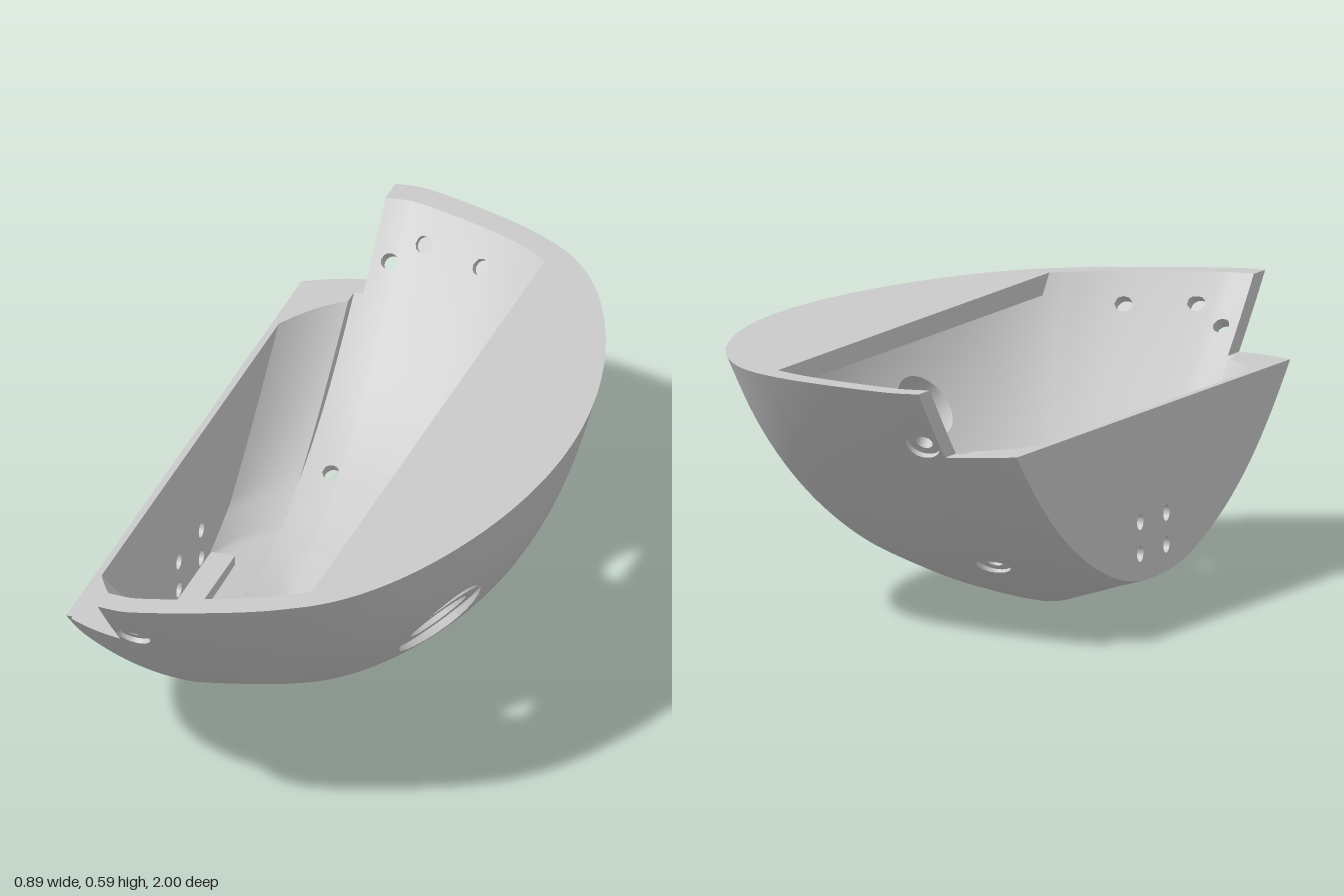
import * as THREE from 'three';

const X0 = -0.24, TOP = 0.59, LEDGE = 0.43, BACK = -0.445, STEP = -0.30, RIB = -0.32, LIP = 0.12;

// Hull contours: height, half length in z, reach to the front (+x), reach to the back (-x)
const rows = [
  [0, 0, 0, 0], [0.012, 0.13, 0.065, 0.048], [0.043, 0.25, 0.17, 0.15], [0.058, 0.30, 0.215, 0.205],
  [0.11, 0.42, 0.343, 0.29], [0.155, 0.51, 0.428, 0.34], [0.226, 0.62, 0.510, 0.41],
  [0.316, 0.73, 0.580, 0.48], [0.435, 0.855, 0.639, 0.54], [0.59, 1.0, 0.683, 0.60],
];

// Smooth interpolation of the contour table, eased by the square root of height
function outer(y) {
  const s = Math.sqrt(THREE.MathUtils.clamp(y, 0, TOP)), S = (i) => Math.sqrt(rows[i][0]);
  let i = 0;
  while (i < rows.length - 2 && s > S(i + 1)) i++;
  const h = S(i + 1) - S(i), t = (s - S(i)) / h;
  const slope = (j, k) => {
    const p = Math.max(0, j - 1), q = Math.min(rows.length - 1, j + 1);
    return (rows[q][k] - rows[p][k]) / (S(q) - S(p));
  };
  const v = [1, 2, 3].map((k) => Math.max(1e-4,
    (1 + 2 * t) * (1 - t) ** 2 * rows[i][k] + t * (1 - t) ** 2 * h * slope(i, k) +
    t * t * (3 - 2 * t) * rows[i + 1][k] + t * t * (t - 1) * h * slope(i + 1, k)));
  return { z: v[0], a: v[1], b: v[2] };
}

// Cavity contours, and the narrower cavity behind the rib
function inner(y) {
  const d = outer(y - 0.035);
  return { z: d.z * 0.965, a: Math.max(1e-3, d.a - Math.min(0.045, d.a * 0.2)), b: Math.max(1e-3, d.b - 0.01) };
}
function rear(y) {
  const k = [[0.06, 0.08], [0.09, 0.2], [0.15, 0.24], [0.43, 0.30]];
  let i = 0;
  while (i < 2 && y > k[i + 1][0]) i++;
  const t = (y - k[i][0]) / (k[i + 1][0] - k[i][0]);
  const b = k[i][1] + t * (k[i + 1][1] - k[i][1]);
  return { z: outer(y).z * lerp(0.82, 0.9, y / LEDGE), a: b, b };
}

// Contours are ellipses, slightly flattened at the flanks and fuller at the shoulders
const lerp = THREE.MathUtils.lerp;
const bulge = (t) => (t > 0 ? 1 - (t < 0.5 ? 0.022 : 0.035) * Math.sin(2 * Math.PI * t) : 1);
const limit = (d, clip) => Math.acos(THREE.MathUtils.clamp((clip - X0) / d.b, -1, 1));
const onContour = (d, th) => {
  const t = Math.cos(th);
  return [X0 + t * (t > 0 ? d.a : d.b), d.z * Math.sin(th) * bulge(t)];
};
const zAt = (d, x) => {
  const t = (x - X0) / (x > X0 ? d.a : d.b);
  return d.z * Math.sqrt(Math.max(0, 1 - t * t)) * bulge(t);
};

// Slides a point along an axis until it lies on a contour surface
function project(p, n, dims) {
  let lo = -0.15, hi = 0.15;
  const q = new THREE.Vector3();
  for (let i = 0; i < 26; i++) {
    const m = (lo + hi) / 2;
    q.copy(p).addScaledVector(n, m);
    if (q.y > 0 && Math.abs(q.z) < zAt(dims(q.y), q.x)) lo = m; else hi = m;
  }
  return q;
}

// Grid surface with round openings: inside points move to the edge of the opening
function sheet(fn, nu, nv, holes = [], dims = null) {
  const pos = [], idx = [], cut = [];
  for (let j = 0; j <= nv; j++) for (let i = 0; i <= nu; i++) {
    let p = new THREE.Vector3(...fn(i / nu, j / nv)), inside = false;
    for (const h of holes) {
      const r = p.clone().sub(h.c), along = r.dot(h.n);
      r.addScaledVector(h.n, -along);
      if (Math.abs(along) < 0.12 && r.length() < h.r) {
        p = project(h.c.clone().addScaledVector(r.normalize(), h.r), h.n, dims);
        inside = true;
      }
    }
    pos.push(p.x, p.y, p.z);
    cut.push(inside);
  }
  const tri = (a, b, c) => { if (!(cut[a] && cut[b] && cut[c])) idx.push(a, b, c); };
  for (let j = 0; j < nv; j++) for (let i = 0; i < nu; i++) {
    const a = j * (nu + 1) + i, c = a + nu + 1;
    tri(a, c, a + 1);
    tri(a + 1, c, c + 1);
  }
  const g = new THREE.BufferGeometry();
  g.setAttribute('position', new THREE.Float32BufferAttribute(pos, 3));
  g.setIndex(idx);
  g.computeVertexNormals();
  return g;
}

// Curved wall between two heights, open behind the clip plane
const shell = (dims, y0, y1, clip, nu, nv, holes) => sheet((u, v) => {
  const y = lerp(y0, y1, v ** 1.5), d = dims(y);
  const [x, z] = onContour(d, (2 * u - 1) * limit(d, clip));
  return [x, y, z];
}, nu, nv, holes, dims);

export function createModel() {
  const model = new THREE.Group();
  const gray = new THREE.MeshStandardMaterial({ color: 0xcacaca, side: THREE.DoubleSide });
  gray.name = 'plain gray';
  const add = (name, geo) => {
    const m = new THREE.Mesh(geo, gray);
    m.name = name;
    model.add(m);
    return m;
  };

  // Bores: counterbored through holes and blind holes in the cavity wall
  const outerHoles = [], innerHoles = [];
  const loop = (c, n, r, t) => {
    const e = new THREE.Vector3(1, 0, 0).cross(n).normalize(), f = n.clone().cross(e);
    return c.clone().addScaledVector(e, r * Math.cos(t)).addScaledVector(f, r * Math.sin(t));
  };
  const tube = (name, from, to) => add(name, sheet((u, v) =>
    from(u * Math.PI * 2).lerp(to(u * Math.PI * 2), v).toArray(), 40, 1));
  const face = (name, geo, c, n) => {
    const m = add(name, geo);
    m.position.copy(c);
    m.quaternion.setFromUnitVectors(new THREE.Vector3(0, 0, 1), n);
  };
  const through = (p, n, r, R, depth) => {
    const c = project(p, n, outer), floor = c.clone().addScaledVector(n, -depth);
    outerHoles.push({ c, n, r: R });
    innerHoles.push({ c, n, r });
    tube('counterboreWall', (t) => project(loop(c, n, R, t), n, outer), (t) => loop(floor, n, R, t));
    face('counterboreSeat', new THREE.RingGeometry(r, R, 40), floor, n);
    tube('boreWall', (t) => loop(floor, n, r, t), (t) => project(loop(c, n, r, t), n, inner));
  };
  const blind = (p, n, r) => {
    const c = project(p, n, inner), end = c.clone().addScaledVector(n, 0.025);
    innerHoles.push({ c, n, r });
    tube('blindHoleWall', (t) => project(loop(c, n, r, t), n, inner), (t) => loop(end, n, r, t));
    face('blindHoleEnd', new THREE.CircleGeometry(r, 24), end, n);
  };
  const V = (x, y, z) => new THREE.Vector3(x, y, z);
  for (const s of [1, -1]) {
    through(V(0.265, 0.318, 0.345 * s), V(0.71, -0.66, 0.25 * s).normalize(), 0.075, 0.112, 0.014);
    through(V(-0.26, 0.45, 0.88 * s), V(0, -0.66, 0.75 * s).normalize(), 0.019, 0.038, 0.014);
    through(V(-0.26, 0.125, 0.475 * s), V(0, -0.83, 0.56 * s).normalize(), 0.019, 0.038, 0.014);
    blind(V(-0.19, 0.525, 0.87 * s), V(0, -0.6, 0.8 * s), 0.02);
    blind(V(-0.04, 0.52, 0.82 * s), V(0.1, -0.6, 0.79 * s).normalize(), 0.02);
  }

  // Outer hull and cavity in bands, split where the clip planes begin
  add('hullBottom', shell(outer, 0, 0.058, BACK, 120, 24, outerHoles));
  add('hullLower', shell(outer, 0.058, LEDGE, BACK, 220, 64, outerHoles));
  add('hullUpper', shell(outer, LEDGE, TOP, STEP, 220, 24, outerHoles));
  add('cavityFloor', shell(inner, 0.035, 0.0585, RIB, 120, 16, innerHoles));
  add('cavityLower', shell(inner, 0.0585, LEDGE, RIB, 220, 64, innerHoles));
  add('cavityUpper', shell(inner, LEDGE, TOP, STEP, 220, 24, innerHoles));

  for (const s of [1, -1]) {
    // Thicker rear cavity wall, the rib step, the ledges and the stepped end faces
    add('rearCavity', sheet((u, v) => {
      const y = lerp(0.0601, LEDGE, v ** 1.5), d = rear(y);
      const [x, z] = onContour(d, lerp(limit(d, RIB), limit(d, -0.43), u));
      return [x, y, z * s];
    }, 16, 40));
    add('ribStep', sheet((u, v) => {
      const y = lerp(0.0601, LEDGE, v ** 1.5);
      return [RIB, y, s * lerp(zAt(rear(y), RIB), zAt(inner(y), RIB), u)];
    }, 1, 40));
    add('ledge', sheet((u, v) => {
      const x = lerp(-0.43, RIB, u);
      return [x, LEDGE, s * lerp(zAt(rear(LEDGE), x), zAt(outer(LEDGE), x), v)];
    }, 16, 1));
    add('ledgeEnd', sheet((u, v) => {
      const x = lerp(RIB, STEP, u);
      return [x, LEDGE, s * lerp(zAt(inner(LEDGE), x), zAt(outer(LEDGE), x), v)];
    }, 2, 1));
    add('stepFace', sheet((u, v) => {
      const y = lerp(LEDGE, TOP, v);
      return [STEP, y, s * lerp(zAt(inner(y), STEP), zAt(outer(y), STEP), u)];
    }, 1, 12));
  }

  // Flat rim with its straight lip and underside
  const arc = (d, from, to, n) => Array.from({ length: n + 1 }, (_, i) =>
    new THREE.Vector2(...onContour(d, lerp(from, to, i / n))));
  const flat = (pts, y) => new THREE.ShapeGeometry(new THREE.Shape(pts)).rotateX(-Math.PI / 2).translate(0, y, 0);
  const o = outer(TOP), c = inner(TOP), u = inner(0.545);
  const lipAngle = (d) => Math.acos((LIP - X0) / d.a);
  add('rimTop', flat([
    ...arc(o, -limit(o, STEP), limit(o, STEP), 120),
    ...arc(c, limit(c, STEP), lipAngle(c), 30),
    ...arc(c, -lipAngle(c), -limit(c, STEP), 30),
  ], TOP));
  add('rimUnderside', flat(arc(u, -lipAngle(u), lipAngle(u), 60), 0.545));
  add('rimLip', new THREE.PlaneGeometry(2 * zAt(c, LIP), 0.045).rotateY(-Math.PI / 2).translate(LIP, 0.5675, 0));

  // Flat back wall with four screw holes
  const side = Array.from({ length: 65 }, (_, i) => {
    const y = lerp(0.058, LEDGE, (i / 64) ** 1.5);
    return new THREE.Vector2(zAt(outer(y), BACK), y);
  });
  const wall = new THREE.Shape([...side, ...side.map((p) => new THREE.Vector2(-p.x, p.y)).reverse()]);
  for (const z of [-0.075, 0.075]) for (const y of [0.12, 0.19]) {
    wall.holes.push(new THREE.Path().absarc(z, y, 0.018, 0, Math.PI * 2, true));
  }
  add('backWall', new THREE.ExtrudeGeometry(wall, { depth: 0.015, bevelEnabled: false, curveSegments: 16 })
    .rotateY(-Math.PI / 2).translate(-0.43, 0, 0));

  // Small pad at the foot of the back wall
  add('wallPad', new THREE.BoxGeometry(0.055, 0.03, 0.28).translate(-0.4025, 0.085, 0));
  return model;
}
